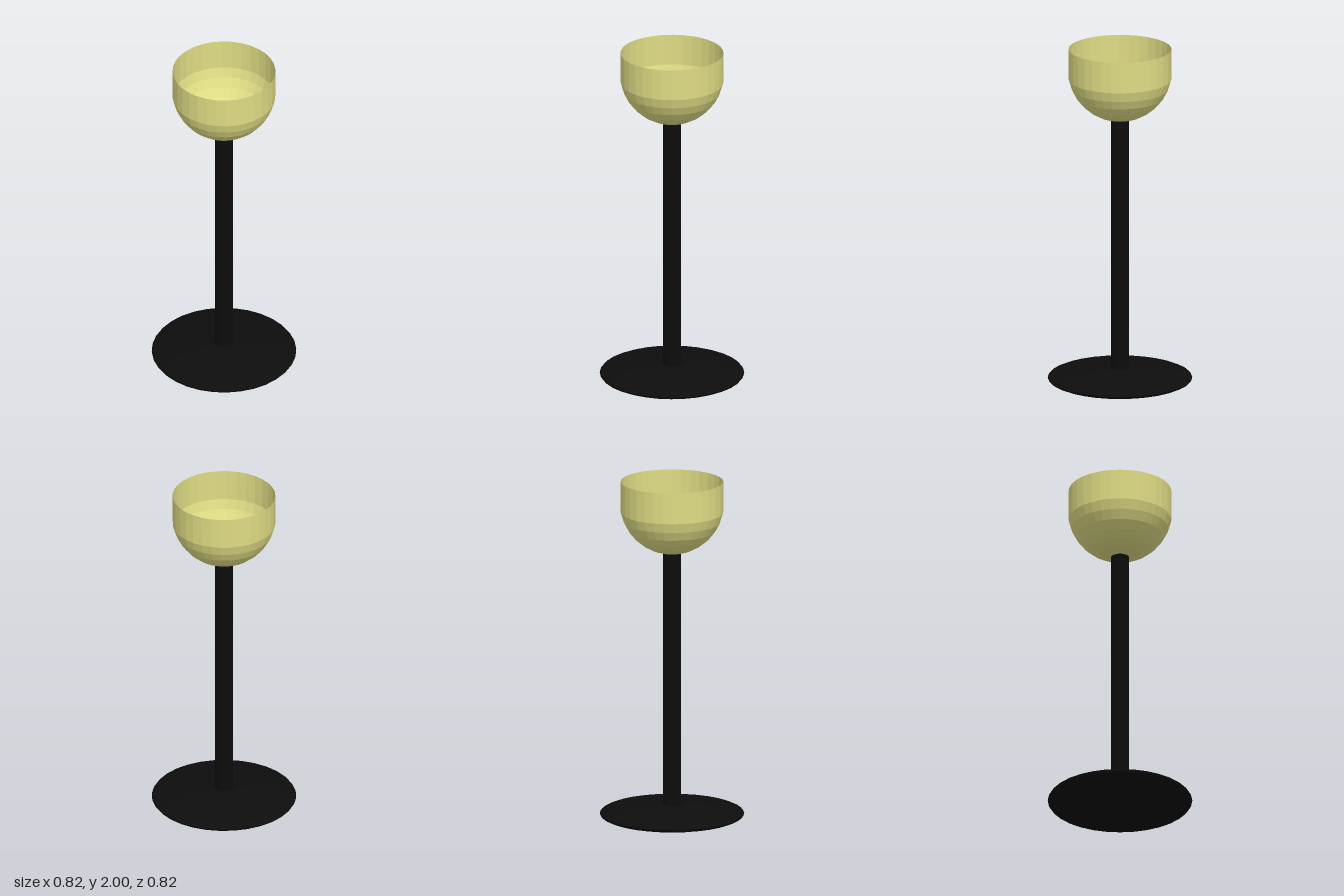
import * as THREE from 'three';

const SIDES = 32;

export function createModel() {
  const black = new THREE.MeshStandardMaterial({ color: 0x0d0d0d, flatShading: true });
  black.name = 'black';
  const paleYellow = new THREE.MeshStandardMaterial({
    color: 0xdfdc84, flatShading: true, side: THREE.DoubleSide,
  });
  paleYellow.name = 'pale yellow';

  const model = new THREE.Group();
  model.name = 'goblet';
  const add = (name, geometry, material, y = 0) => {
    const mesh = new THREE.Mesh(geometry, material);
    mesh.name = name;
    mesh.position.y = y;
    model.add(mesh);
  };

  // Foot: a sphere squashed into a lens
  const foot = new THREE.SphereGeometry(0.412, SIDES, 16);
  foot.scale(1, 0.056 / 0.412, 1);
  add('foot', foot, black, 0.057);

  // Stem: rises from inside the foot and just pierces the bowl
  const bottom = 0.06, top = 1.589;
  add('stem', new THREE.CylinderGeometry(0.051, 0.051, top - bottom, SIDES), black, (top + bottom) / 2);

  // Bowl: thin open shell, rounded below with a straight wall above
  const radius = 0.298, centreY = 1.878;
  const profile = [];
  for (let i = 0; i <= 7; i++) {
    const a = (i * Math.PI) / 16;
    profile.push(new THREE.Vector2(radius * Math.sin(a), centreY - radius * Math.cos(a)));
  }
  profile.push(new THREE.Vector2(profile[7].x + 0.001, 2));
  add('bowl', new THREE.LatheGeometry(profile, SIDES), paleYellow);

  return model;
}
